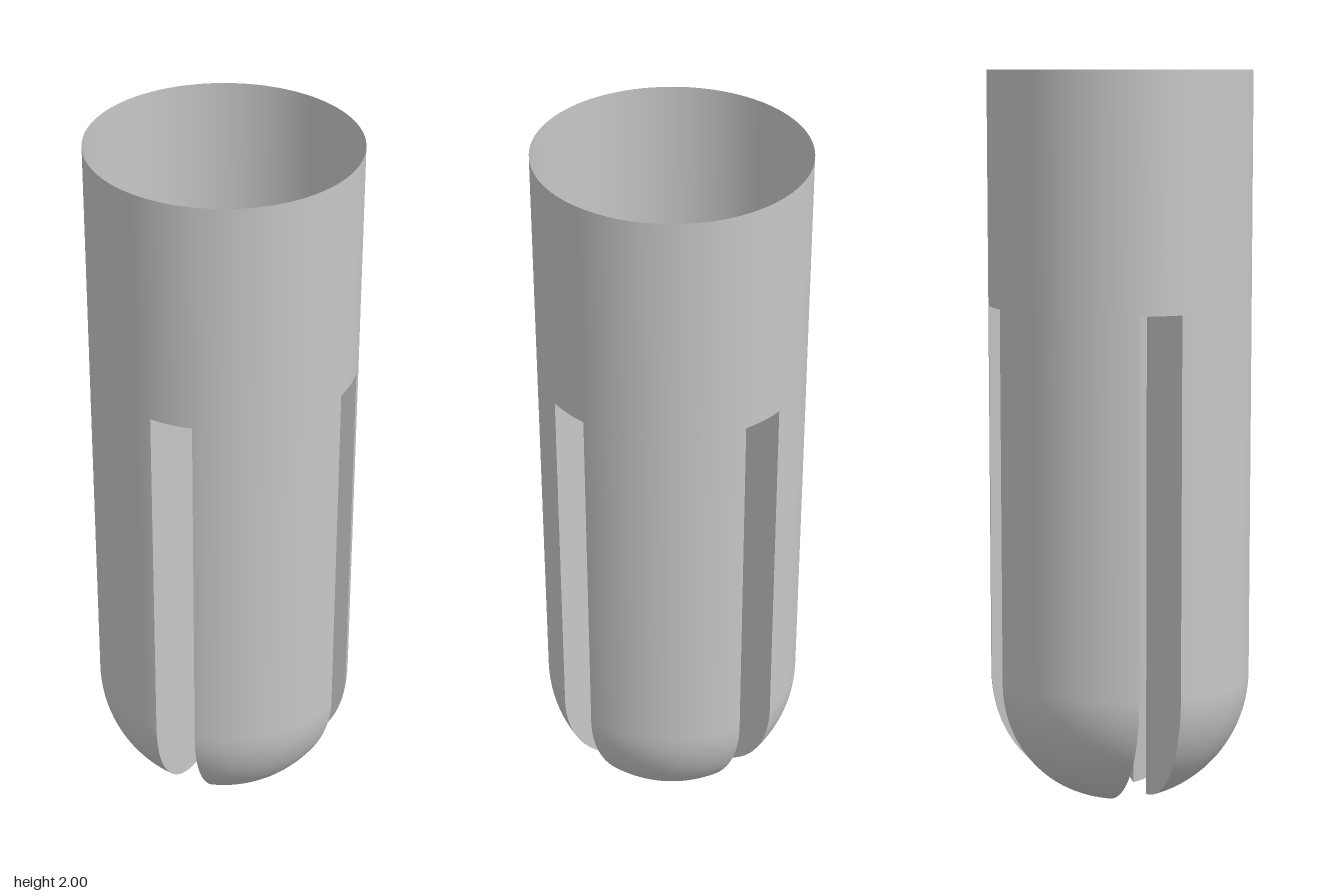
import * as THREE from 'three';

const R = 0.358;        // tube radius
const H = 0.058;        // half width of the slots
const TOP = 2;
const SLOT_TOP = 1.37;
const TILT = THREE.MathUtils.degToRad(20);

// Polar angle where a quadrant's inner corner meets the round end
const T0 = Math.asin((H * Math.SQRT2) / R);
const CENTRE_Y = R * Math.cos(T0);

// Rows from the lowest tip up to the slot top: ring radius, height, polar angle
const ROWS = [];
for (let i = 0; i <= 28; i++) {
  const t = T0 + (Math.PI / 2 - T0) * (i / 28);
  ROWS.push({ r: R * Math.sin(t), y: CENTRE_Y - R * Math.cos(t), t });
}
ROWS.push({ r: R, y: SLOT_TOP, t: Math.PI / 2 });

// Grid surface over the rows; point(row, u) gives [position, normal]
function rowSurface(cols, point) {
  const pos = [], nor = [], idx = [];
  ROWS.forEach((row, i) => {
    for (let j = 0; j <= cols; j++) {
      const [p, n] = point(row, j / cols);
      pos.push(...p);
      nor.push(...n);
      if (i < ROWS.length - 1 && j < cols) {
        const a = i * (cols + 1) + j, b = a + cols + 1;
        idx.push(a, b, a + 1, b, b + 1, a + 1);
      }
    }
  });
  const g = new THREE.BufferGeometry();
  g.setAttribute('position', new THREE.Float32BufferAttribute(pos, 3));
  g.setAttribute('normal', new THREE.Float32BufferAttribute(nor, 3));
  g.setIndex(idx);
  return g;
}

// Distance along a slot wall, from the inner corner to the outer skin
const along = (row, u) => H + (Math.sqrt(Math.max(row.r ** 2 - H ** 2, H ** 2)) - H) * u;

export function createModel() {
  const model = new THREE.Group();
  const grey = new THREE.MeshStandardMaterial({ color: 0xc8c8c8, side: THREE.DoubleSide });
  grey.name = 'grey';

  const add = (parent, name, geometry) => {
    const mesh = new THREE.Mesh(geometry, grey);
    mesh.name = name;
    parent.add(mesh);
    return mesh;
  };

  // Open upper tube
  const tube = new THREE.CylinderGeometry(R, R, TOP - SLOT_TOP, 96, 1, true);
  add(model, 'upperTube', tube).position.y = (TOP + SLOT_TOP) / 2;

  // Rounded outer skin of one quadrant, narrowing to its inner corner
  const skin = rowSurface(24, (row, u) => {
    const edge = Math.asin(Math.min(H / row.r, Math.SQRT1_2));
    const a = edge + (Math.PI / 2 - 2 * edge) * u;
    const c = Math.cos(a), s = Math.sin(a), n = Math.sin(row.t);
    return [[row.r * c, row.y, row.r * s], [n * c, -Math.cos(row.t), n * s]];
  });

  // Flat walls facing the two neighbouring slots
  const wallA = rowSurface(1, (row, u) => [[along(row, u), row.y, H], [0, 0, -1]]);
  const wallB = rowSurface(1, (row, u) => [[H, row.y, along(row, 1 - u)], [-1, 0, 0]]);

  // Four quadrants separated by a crossed pair of slots
  for (let k = 0; k < 4; k++) {
    const quadrant = new THREE.Group();
    quadrant.name = 'quadrant' + (k + 1);
    add(quadrant, 'outerSkin', skin);
    add(quadrant, 'slotWallA', wallA);
    add(quadrant, 'slotWallB', wallB);
    quadrant.rotation.y = -TILT + (k * Math.PI) / 2;
    model.add(quadrant);
  }
  return model;
}
